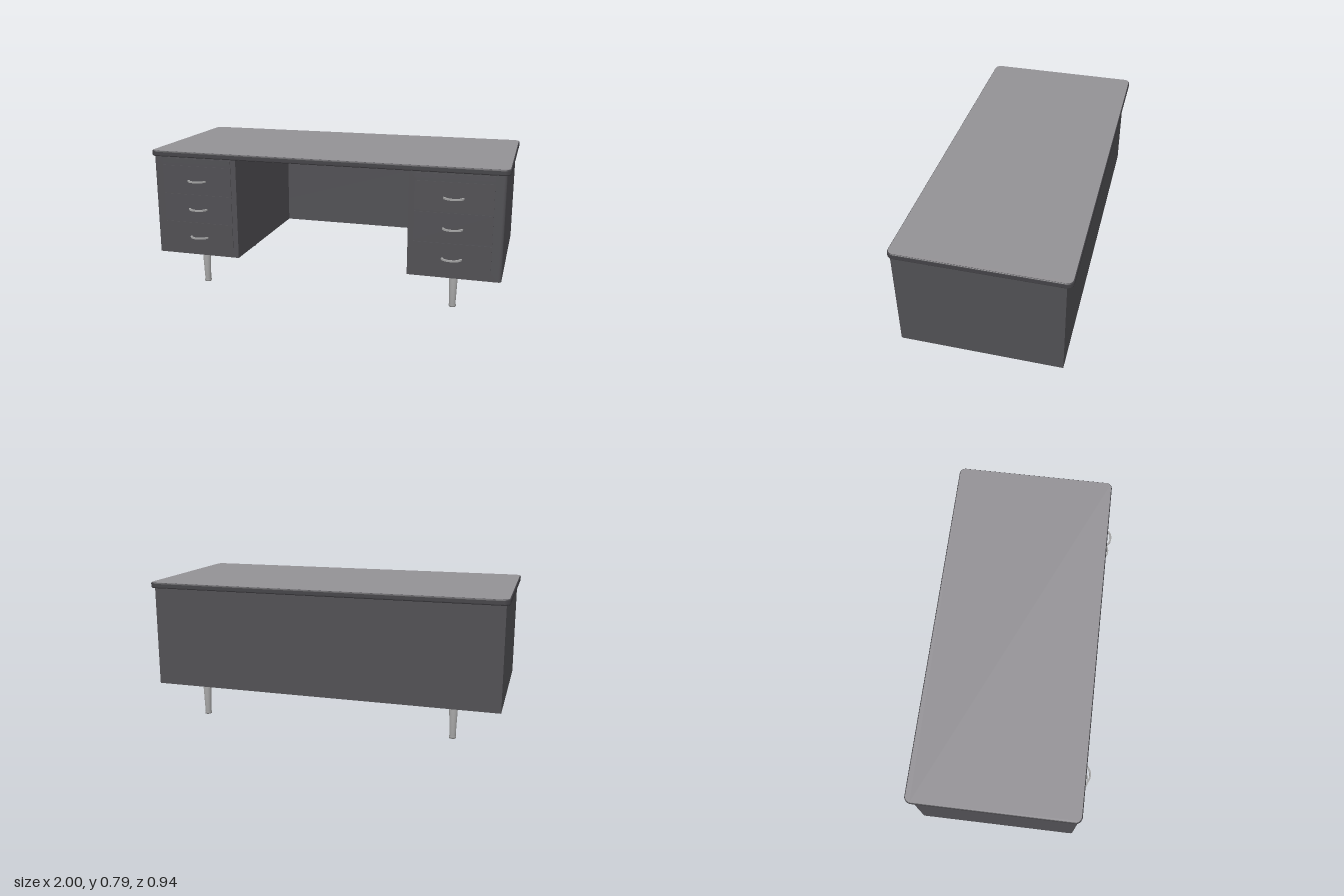
import * as THREE from 'three';

const paint = (name, color) => {
  const m = new THREE.MeshStandardMaterial({ color });
  m.name = name;
  return m;
};

export function createModel() {
  const desk = new THREE.Group();
  desk.name = 'desk';
  const steel = paint('dark steel', 0x504f53);
  const trim = paint('edge trim', 0x434246);
  const laminate = paint('grey laminate', 0x939195);
  const metal = paint('brushed metal', 0xa2a2a2);

  const add = (name, geometry, material, x = 0, y = 0, z = 0, parent = desk) => {
    const mesh = new THREE.Mesh(geometry, material);
    mesh.name = name;
    mesh.position.set(x, y, z);
    parent.add(mesh);
    return mesh;
  };
  const box = (name, w, h, d, material, x, y, z, parent) =>
    add(name, new THREE.BoxGeometry(w, h, d), material, x, y, z, parent);

  // Rounded rectangle; after the extrusion is laid flat, its y runs along -z
  const roundedRect = (x0, x1, y0, y1, r) => {
    const s = new THREE.Shape();
    s.moveTo(x0 + r, y0).lineTo(x1 - r, y0);
    s.absarc(x1 - r, y0 + r, r, -Math.PI / 2, 0);
    s.absarc(x1 - r, y1 - r, r, 0, Math.PI / 2);
    s.absarc(x0 + r, y1 - r, r, Math.PI / 2, Math.PI);
    s.absarc(x0 + r, y0 + r, r, Math.PI, Math.PI * 1.5);
    return s;
  };
  const flat = (shape, depth, bevel = 0) =>
    new THREE.ExtrudeGeometry(shape, {
      depth, bevelEnabled: bevel > 0, bevelSize: bevel, bevelThickness: bevel,
      bevelOffset: -bevel, bevelSegments: 3, curveSegments: 6,
    }).rotateX(-Math.PI / 2);

  // Desktop: bevelled dark edge with a laminate sheet on top
  add('topEdge', flat(roundedRect(-1, 1, -0.438, 0.472, 0.035), 0.018, 0.007), trim, 0, 0.763, 0);
  add('topSurface', flat(roundedRect(-0.995, 0.995, -0.433, 0.467, 0.031), 0.003), laminate, 0, 0.786, 0);

  // Back panel across the whole desk
  box('backPanel', 1.962, 0.568, 0.014, steel, 0, 0.474, -0.433);

  // Bowed pull handle: half ring, flat underneath
  const bow = new THREE.Shape();
  bow.moveTo(0.055, 0);
  bow.absellipse(0, 0, 0.055, 0.04, 0, Math.PI, false);
  bow.lineTo(-0.044, 0);
  bow.absellipse(0, 0, 0.044, 0.031, Math.PI, 0, true);
  const handleGeo = new THREE.ExtrudeGeometry(bow, { depth: 0.009, bevelEnabled: false, curveSegments: 16 })
    .rotateX(Math.PI / 2);

  // Tapered leg with a flared foot
  const legGeo = new THREE.LatheGeometry(
    [[0, 0], [0.019, 0], [0.02, 0.01], [0.017, 0.014], [0.024, 0.185], [0, 0.185]]
      .map(([r, y]) => new THREE.Vector2(r, y)), 16);

  for (const side of [-1, 1]) {
    const pedestal = new THREE.Group();
    pedestal.name = side > 0 ? 'leftPedestal' : 'rightPedestal';
    desk.add(pedestal);

    // Cabinet with a softened outer front corner
    const s = new THREE.Shape();
    const r = 0.016;
    if (side > 0) {
      s.moveTo(0.485, -0.429).lineTo(0.981 - r, -0.429);
      s.absarc(0.981 - r, -0.429 + r, r, -Math.PI / 2, 0);
      s.lineTo(0.981, 0.426).lineTo(0.485, 0.426);
    } else {
      s.moveTo(-0.485, 0.426).lineTo(-0.981, 0.426).lineTo(-0.981, -0.429 + r);
      s.absarc(-0.981 + r, -0.429 + r, r, Math.PI, Math.PI * 1.5);
      s.lineTo(-0.485, -0.429);
    }
    add('cabinet', flat(s, 0.568), steel, 0, 0.19, 0, pedestal);

    // Writing slide above three drawers
    const cx = side * 0.72;
    box('writingSlide', 0.41, 0.026, 0.006, steel, cx, 0.737, 0.431, pedestal);
    for (const y of [0.302, 0.466, 0.63]) {
      box('drawerFront', 0.41, 0.156, 0.004, steel, cx, y, 0.431, pedestal);
      add('drawerHandle', handleGeo, metal, cx, y, 0.432, pedestal);
    }

    // Front and back legs with mounting plates
    for (const z of [0.343, -0.35]) {
      box('legPlate', 0.095, 0.007, 0.095, steel, side * 0.725, 0.1865, z, pedestal);
      add('leg', legGeo, metal, side * 0.725, 0, z, pedestal);
    }
  }
  return desk;
}
